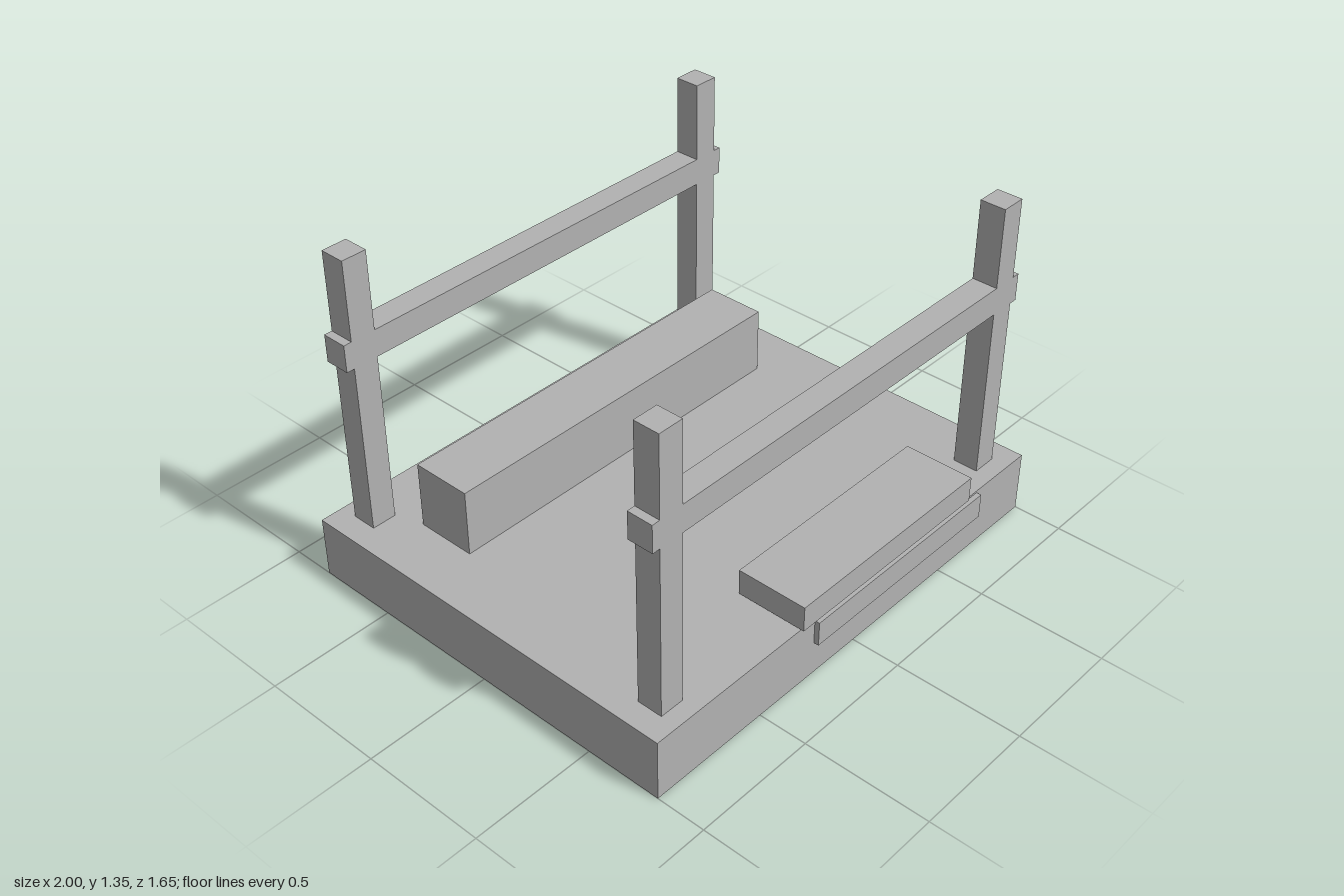
import * as THREE from 'three';

export function createModel() {
  const model = new THREE.Group();
  const grey = new THREE.MeshStandardMaterial({ color: 0xb2b2b2 });
  grey.name = 'plain grey';

  // Box given by its [min, max] extent on each axis
  function addBox(name, [x0, x1], [y0, y1], [z0, z1]) {
    const mesh = new THREE.Mesh(new THREE.BoxGeometry(x1 - x0, y1 - y0, z1 - z0), grey);
    mesh.name = name;
    mesh.position.set((x0 + x1) / 2, (y0 + y1) / 2, (z0 + z1) / 2);
    model.add(mesh);
  }

  const floor = 0.245;
  addBox('platform', [-1, 1], [0, floor], [-0.826, 0.806]);
  addBox('bench', [-0.773, 0.773], [floor, 0.512], [-0.54, -0.297]);

  // Two offset steps at the front edge
  addBox('upperStep', [-0.31, 0.63], [0.258, 0.36], [0.542, 0.826]);
  addBox('lowerStep', [-0.225, 0.71], [0.137, 0.237], [0.542, 0.826]);

  // Front and back railings: two posts and a crossbar each
  for (const [side, z] of [['front', [0.635, 0.736]], ['back', [-0.755, -0.654]]]) {
    addBox(side + 'LeftPost', [0.806, 0.906], [floor, 1.35], z);
    addBox(side + 'RightPost', [-0.906, -0.806], [floor, 1.35], z);
    addBox(side + 'Rail', [-0.938, 0.938], [0.93, 1.038], z);
  }
  return model;
}
